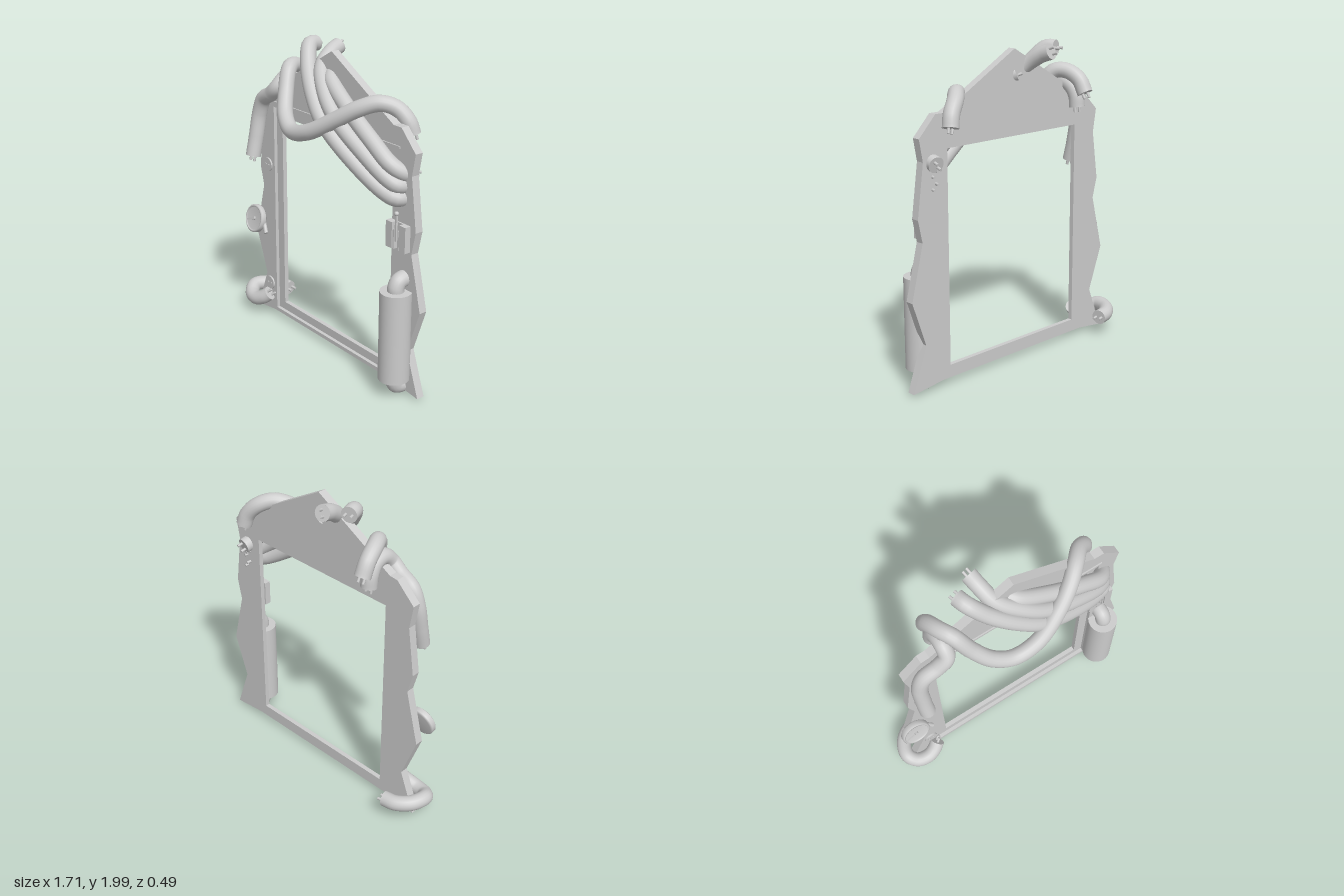
import * as THREE from 'three';

const mat = new THREE.MeshStandardMaterial({ color: 0xcccccc });
const V = (p) => new THREE.Vector3(...p);

export function createModel() {
  const root = new THREE.Group();

  function add(name, geo, pos = [0, 0, 0], parent = root) {
    const m = new THREE.Mesh(geo, mat);
    m.name = name;
    m.position.set(...pos);
    parent.add(m);
    return m;
  }
  const box = (name, w, h, d, pos, parent) => add(name, new THREE.BoxGeometry(w, h, d), pos, parent);

  // Flat slab cut from an outline with a rectangular opening
  function slab(name, outline, [x0, y0, x1, y1], z0, z1) {
    const s = new THREE.Shape(outline.map(([x, y]) => new THREE.Vector2(x, y)));
    const h = new THREE.Path();
    h.moveTo(x0, y0); h.lineTo(x0, y1); h.lineTo(x1, y1); h.lineTo(x1, y0); h.closePath();
    s.holes.push(h);
    return add(name, new THREE.ExtrudeGeometry(s, { depth: z1 - z0, bevelEnabled: false }), [0, 0, z0]);
  }

  // Two-pin plug face closing the end of a cable
  function plug(parent, at, dir, r) {
    const g = new THREE.Group();
    g.name = 'plug';
    g.position.copy(at);
    g.quaternion.setFromUnitVectors(new THREE.Vector3(0, 0, 1), dir);
    add('plugFace', new THREE.CircleGeometry(r, 20), [0, 0, 0], g);
    for (const s of [-1, 1]) {
      const pin = add('pin', new THREE.CylinderGeometry(0.009, 0.009, 0.035, 8), [s * 0.02, 0, 0.016], g);
      pin.rotation.x = Math.PI / 2;
    }
    parent.add(g);
  }

  // Smooth cable through points, with a plug on both ends
  function cable(name, pts, r = 0.049) {
    const g = new THREE.Group();
    g.name = name;
    const c = new THREE.CatmullRomCurve3(pts.map(V));
    add('cord', new THREE.TubeGeometry(c, 72, r, 18, false), [0, 0, 0], g);
    plug(g, c.getPoint(0), c.getTangent(0).negate(), r);
    plug(g, c.getPoint(1), c.getTangent(1), r);
    root.add(g);
  }

  // Jagged frame plate with a rebated opening
  slab('framePlate', [
    [-0.765, 0.02], [-0.57, 0.045], [0.63, 0.045], [0.855, 0.02], [0.755, 0.3], [0.85, 0.58],
    [0.765, 0.92], [0.795, 1.06], [0.75, 1.385], [0.775, 1.52], [0.655, 1.645], [0.59, 1.645],
    [0.04, 1.96], [-0.51, 1.645], [-0.565, 1.64], [-0.69, 1.52], [-0.665, 1.37], [-0.71, 1.06],
    [-0.675, 0.93], [-0.765, 0.58], [-0.66, 0.295],
  ], [-0.55, 0.07, 0.635, 1.495], -0.064, -0.012);
  slab('innerRim', [[-0.55, 0.07], [0.635, 0.07], [0.635, 1.495], [-0.55, 1.495]],
    [-0.488, 0.125, 0.572, 1.44], -0.064, -0.035);
  box('topMoulding', 1.21, 0.015, 0.01, [0.045, 1.528, -0.009]);

  // Cables wrapped around the frame
  cable('waveCable', [
    [-0.43, 1.66, -0.2], [-0.425, 1.74, -0.155], [-0.4, 1.79, -0.07], [-0.36, 1.785, 0],
    [-0.29, 1.65, 0.08], [-0.2, 1.54, 0.15], [-0.08, 1.485, 0.19], [0.08, 1.52, 0.19],
    [0.25, 1.62, 0.13], [0.37, 1.7, 0.06], [0.46, 1.738, -0.02], [0.53, 1.71, -0.09],
    [0.59, 1.64, -0.125], [0.61, 1.57, -0.14],
  ]);
  cable('leftCable', [
    [-0.63, 1.17, 0.1], [-0.632, 1.3, 0.07], [-0.625, 1.45, 0.045], [-0.585, 1.55, 0.04],
    [-0.49, 1.605, 0.045], [-0.43, 1.66, 0.04], [-0.42, 1.715, -0.02], [-0.42, 1.7, -0.09],
    [-0.425, 1.64, -0.13], [-0.425, 1.57, -0.14],
  ]);
  cable('lowerSweepCable', [
    [-0.25, 1.945, -0.12], [-0.23, 1.945, -0.06], [-0.14, 1.835, 0.02], [0, 1.695, 0.09],
    [0.145, 1.57, 0.125], [0.41, 1.385, 0.1], [0.6, 1.265, 0.05], [0.66, 1.24, 0.02], [0.67, 1.235, -0.055],
  ]);
  cable('middleSweepCable', [
    [-0.125, 1.94, -0.2], [-0.11, 1.915, -0.13], [-0.07, 1.845, -0.03], [0.05, 1.74, 0.05],
    [0.2, 1.62, 0.09], [0.45, 1.46, 0.08], [0.61, 1.35, 0.045], [0.66, 1.315, 0.01], [0.67, 1.31, -0.055],
  ]);
  cable('upperSweepCable', [
    [0.01, 1.81, -0.04], [0.06, 1.785, 0], [0.25, 1.67, 0.035], [0.48, 1.53, 0.045],
    [0.62, 1.43, 0.03], [0.67, 1.385, -0.02], [0.68, 1.365, -0.095],
  ]);
  cable('bottomCurlCable', [
    [-0.63, 0.135, -0.18], [-0.71, 0.14, -0.165], [-0.785, 0.145, -0.1], [-0.81, 0.145, -0.01],
    [-0.765, 0.115, 0.045], [-0.69, 0.11, 0.06], [-0.63, 0.135, 0.045], [-0.59, 0.17, 0.02],
  ], 0.048);

  // Canister with elbow pipes running back into the frame
  const CX = 0.706, CZ = 0.045;
  add('canister', new THREE.CylinderGeometry(0.095, 0.095, 0.57, 32), [CX, 0.405, CZ]);
  for (const [y, s] of [[0.68, 1], [0.13, -1]]) {
    const c = new THREE.CatmullRomCurve3([[0, 0], [0.03, 0], [0.062, -0.018], [0.073, -0.05], [0.073, -0.095]]
      .map(([h, z]) => new THREE.Vector3(CX, y + s * h, CZ + z)));
    add('canisterElbow', new THREE.TubeGeometry(c, 24, 0.05, 18, false));
  }

  // Dial gauge, tilted slightly upward
  const gauge = new THREE.Group();
  gauge.name = 'gauge';
  gauge.position.set(-0.72, 0.685, 0.03);
  gauge.rotation.set(-0.25, 0, 0);
  const profile = [[0, -0.022], [0.085, -0.022], [0.095, -0.012], [0.095, 0.016], [0.088, 0.022],
    [0.08, 0.022], [0.078, 0.012], [0, 0.012]];
  add('gaugeBody', new THREE.LatheGeometry(profile.map((p) => new THREE.Vector2(...p)), 32), [0, 0, 0], gauge)
    .rotation.x = Math.PI / 2;
  const needle = box('gaugeNeedle', 0.085, 0.012, 0.008, [-0.03, -0.012, 0.016], gauge);
  needle.rotation.z = 0.35;
  const hub = add('gaugeHub', new THREE.CylinderGeometry(0.012, 0.012, 0.014, 12), [0, 0, 0.017], gauge);
  hub.rotation.x = Math.PI / 2;
  const stem = add('gaugeStem', new THREE.CylinderGeometry(0.014, 0.014, 0.07, 12), [0.1, -0.04, -0.015], gauge);
  stem.rotation.z = 0.6;
  root.add(gauge);

  // Round wall sockets with two contacts
  for (const y of [1.09, 0.235]) {
    const g = new THREE.Group();
    g.name = 'socket';
    g.position.set(-0.618, y, -0.008);
    add('socketDisc', new THREE.CylinderGeometry(0.045, 0.045, 0.014, 24), [0, 0, 0], g).rotation.x = Math.PI / 2;
    for (const s of [-1, 1])
      add('contact', new THREE.CylinderGeometry(0.008, 0.008, 0.006, 8), [s * 0.015, 0, 0.008], g).rotation.x = Math.PI / 2;
    root.add(g);
  }

  // Knife switch: two side blocks, clips and an upright lever
  const sw = new THREE.Group();
  sw.name = 'knifeSwitch';
  sw.position.set(0.67, 1.01, 0);
  for (const s of [-1, 1]) {
    box('switchBlock', 0.052, 0.16, 0.04, [s * 0.056, 0, 0.008], sw);
    box('switchClip', 0.01, 0.12, 0.03, [s * 0.02, -0.02, 0.01], sw);
  }
  box('switchBase', 0.06, 0.16, 0.012, [0, 0, -0.008], sw);
  box('switchLever', 0.012, 0.16, 0.012, [0, 0.05, 0.022], sw);
  add('leverKnob', new THREE.SphereGeometry(0.014, 12, 8), [0, 0.14, 0.022], sw);
  root.add(sw);

  return root;
}
